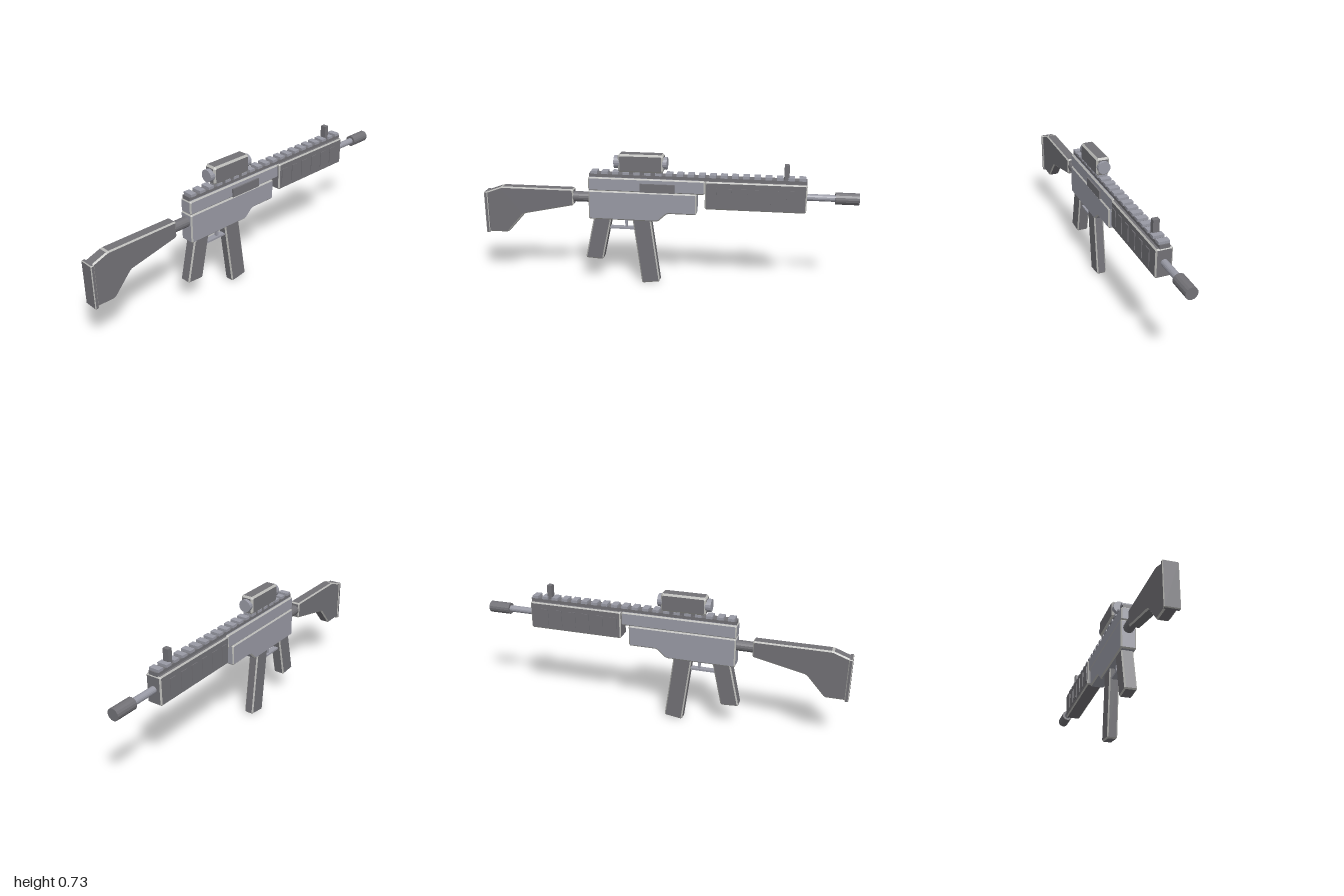
import * as THREE from 'three';

export function createModel() {
  const model = new THREE.Group();
  const mat = (name, color) => {
    const m = new THREE.MeshStandardMaterial({ color });
    m.name = name;
    return m;
  };
  const dark = mat('dark polymer', 0x727176);
  const metal = mat('blue grey metal', 0x999aa5);
  const worn = mat('worn edge', 0xb8b8b5);

  const add = (name, geometry, material, x = 0, y = 0, z = 0) => {
    const mesh = new THREE.Mesh(geometry, material);
    mesh.name = name;
    mesh.position.set(x, y, z);
    model.add(mesh);
    return mesh;
  };
  // Cut each corner of an outline by a short chamfer
  const chamfer = (points, cut) => points.flatMap(([x, y], i) => {
    const corner = new THREE.Vector2(x, y);
    return [points.at(i - 1), points[(i + 1) % points.length]].map(([nx, ny]) =>
      new THREE.Vector2(nx, ny).sub(corner).setLength(cut).add(corner));
  });
  // Give the chamfers the worn colour (material 1), flat faces keep material 0
  const paintEdges = (geometry, cut) => {
    const p = geometry.attributes.position;
    const tri = new THREE.Triangle();
    const normal = new THREE.Vector3();
    const runs = [];
    for (let i = 0; i < p.count; i += 3) {
      tri.setFromAttributeAndIndices(p, i, i + 1, i + 2).getNormal(normal);
      const nz = Math.abs(normal.z);
      const width = Math.max(Math.hypot(tri.a.x - tri.b.x, tri.a.y - tri.b.y),
        Math.hypot(tri.b.x - tri.c.x, tri.b.y - tri.c.y));
      const index = nz > 0.99 || (nz < 0.01 && width > 2.02 * cut) ? 0 : 1;
      const last = runs.at(-1);
      if (last && last.index === index) last.count += 3;
      else runs.push({ start: i, count: 3, index });
    }
    geometry.clearGroups();
    for (const r of runs) geometry.addGroup(r.start, r.count, r.index);
  };
  // Side outline extruded to a half width, with every edge chamfered
  const slab = (name, points, half, material, bevel = 0.007) => {
    const geometry = new THREE.ExtrudeGeometry(new THREE.Shape(chamfer(points, bevel)), {
      depth: 2 * (half - bevel), bevelEnabled: true, bevelSegments: 1,
      bevelSize: bevel, bevelThickness: bevel, bevelOffset: -bevel,
    });
    geometry.translate(0, 0, -(half - bevel));
    paintEdges(geometry, bevel);
    return add(name, geometry, [material, worn]);
  };
  const block = (name, x0, x1, y0, y1, half, material, bevel) =>
    slab(name, [[x0, y0], [x1, y0], [x1, y1], [x0, y1]], half, material, bevel);
  const box = (name, x0, x1, y0, y1, z0, z1, material) =>
    add(name, new THREE.BoxGeometry(x1 - x0, y1 - y0, z1 - z0), material,
      (x0 + x1) / 2, (y0 + y1) / 2, (z0 + z1) / 2);
  // Faceted cylinder lying along x
  const rod = (name, x0, x1, y, radius, material) => {
    const geometry = new THREE.CylinderGeometry(radius, radius, x1 - x0, 16)
      .rotateZ(-Math.PI / 2).toNonIndexed();
    geometry.computeVertexNormals();
    return add(name, geometry, material, (x0 + x1) / 2, y);
  };

  // Stock, butt pad and tube
  slab('stock', [[-0.99, 0.262], [-0.88, 0.262], [-0.78, 0.374], [-0.5, 0.434],
    [-0.5, 0.523], [-0.9, 0.523], [-0.99, 0.49]], 0.03, dark);
  block('buttPad', -1, -0.98, 0.258, 0.493, 0.039, dark, 0.004);
  rod('stockTube', -0.51, -0.4, 0.478, 0.028, dark);

  // Receiver
  slab('lowerReceiver', [[-0.415, 0.365], [-0.04, 0.365], [0.01, 0.411], [0.167, 0.411],
    [0.167, 0.525], [-0.415, 0.525]], 0.04, metal);
  block('upperReceiver', -0.415, 0.209, 0.523, 0.598, 0.037, metal);
  box('ejectionPort', -0.135, 0.05, 0.527, 0.573, 0.035, 0.046, dark);

  // Handguard with side panels
  block('handguard', 0.21, 0.735, 0.447, 0.598, 0.043, dark);
  for (let i = 0; i < 6; i++) {
    const x = 0.25 + i * 0.08;
    for (const side of [-1, 1])
      add('handguardPanel', new THREE.BoxGeometry(0.04, 0.09, 0.008), dark, x, 0.52, side * 0.043);
  }

  // Top rail and teeth
  box('rail', -0.41, 0.733, 0.596, 0.616, -0.025, 0.025, dark);
  for (let i = 0; i < 20; i++) {
    const x = -0.4 + i * 0.0575;
    box('railTooth', x, x + 0.034, 0.615, 0.629, -0.028, 0.028, metal);
  }

  // Barrel and front sight
  rod('barrel', 0.72, 0.89, 0.525, 0.018, metal);
  rod('muzzle', 0.88, 1, 0.525, 0.031, dark);
  box('frontSight', 0.615, 0.641, 0.616, 0.693, -0.016, 0.016, dark);

  // Scope
  block('scopeBody', -0.252, -0.01, 0.63, 0.727, 0.036, dark, 0.01);
  box('scopeMount', -0.21, -0.05, 0.615, 0.64, -0.022, 0.022, dark);
  rod('rearLens', -0.275, -0.24, 0.679, 0.034, metal);
  rod('frontLens', -0.02, 0.008, 0.679, 0.034, metal);

  // Grip and magazine
  slab('grip', [[-0.442, 0.136], [-0.345, 0.13], [-0.293, 0.372], [-0.39, 0.372]], 0.032, dark);
  slab('magazine', [[-0.13, 0], [-0.03, 0.014], [-0.08, 0.377], [-0.18, 0.377]], 0.027, dark);

  // Trigger and its guard
  box('triggerGuard', -0.32, -0.165, 0.308, 0.318, -0.016, 0.016, metal);
  box('trigger', -0.222, -0.21, 0.316, 0.373, -0.008, 0.008, metal);

  return model;
}
